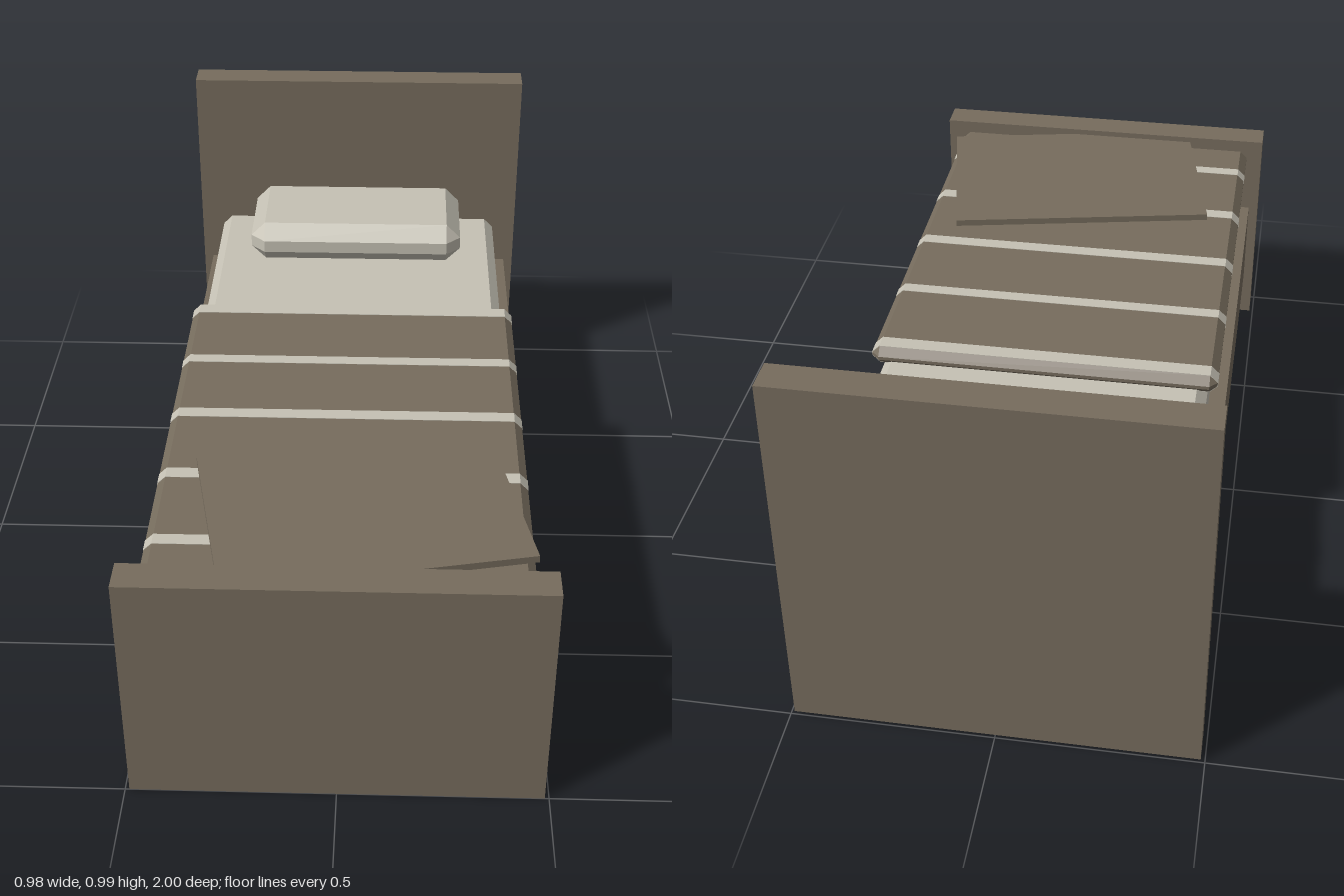
import * as THREE from 'three';
import { ConvexGeometry } from 'three/addons/geometries/ConvexGeometry.js';

const wood = new THREE.MeshStandardMaterial({ color: 0x766c5d });
wood.name = 'brown';
const linen = new THREE.MeshStandardMaterial({ color: 0xc5c1b4 });
linen.name = 'cream';

// Box spanning the given ranges
function box(x, y, z) {
  const g = new THREE.BoxGeometry(x[1] - x[0], y[1] - y[0], z[1] - z[0]);
  g.translate((x[0] + x[1]) / 2, (y[0] + y[1]) / 2, (z[0] + z[1]) / 2);
  return g;
}

// Box with every edge and corner cut by c
function chamferedBox(x, y, z, c) {
  const points = [];
  for (const i of [0, 1]) for (const j of [0, 1]) for (const k of [0, 1]) {
    const corner = new THREE.Vector3(x[i], y[j], z[k]);
    const cut = new THREE.Vector3(i ? -c : c, j ? -c : c, k ? -c : c);
    for (const keep of ['x', 'y', 'z']) {
      const p = corner.clone().add(cut);
      p[keep] = corner[keep];
      points.push(p);
    }
  }
  return new ConvexGeometry(points);
}

// Thin band that follows the blanket's chamfered cross-section
function band(halfWidth, y, z, c) {
  const points = [];
  for (const s of [-1, 1]) for (const j of [0, 1]) for (const zz of z) {
    points.push(new THREE.Vector3(s * halfWidth, y[j] + (j ? -c : c), zz));
    points.push(new THREE.Vector3(s * (halfWidth - c), y[j], zz));
  }
  return new ConvexGeometry(points);
}

export function createModel() {
  const bed = new THREE.Group();
  bed.name = 'bed';
  const add = (name, geometry, material) => {
    const mesh = new THREE.Mesh(geometry, material);
    mesh.name = name;
    bed.add(mesh);
    return mesh;
  };

  // Frame
  add('headboard', box([-0.49, 0.49], [0.01, 0.985], [-1, -0.917]), wood);
  add('footboard', box([-0.49, 0.49], [0, 0.62], [0.918, 1]), wood);
  add('bedBase', box([-0.463, 0.463], [0.135, 0.388], [-0.917, 0.918]), wood);

  // Bedding
  add('mattress', chamferedBox([-0.42, 0.42], [0.388, 0.545], [-0.915, 0.917], 0.026), linen);
  add('pillow', chamferedBox([-0.31, 0.31], [0.545, 0.662], [-0.905, -0.58], 0.041), linen);
  add('blanket', chamferedBox([-0.445, 0.445], [0.535, 0.584], [-0.288, 0.945], 0.02), wood);

  // Blanket stripes
  const stripes = [[-0.268, -0.227], [-0.005, 0.03], [0.25, 0.288], [0.51, 0.548], [0.768, 0.803]];
  stripes.forEach((z, i) => {
    add('blanketStripe' + (i + 1), band(0.446, [0.534, 0.585], z, 0.0204), linen);
  });

  // Folded throw lying askew at the foot
  const cover = add('throw', new THREE.BoxGeometry(0.72, 0.018, 0.51), wood);
  cover.position.set(0.048, 0.595, 0.667);
  cover.rotation.y = 0.2;
  return bed;
}
